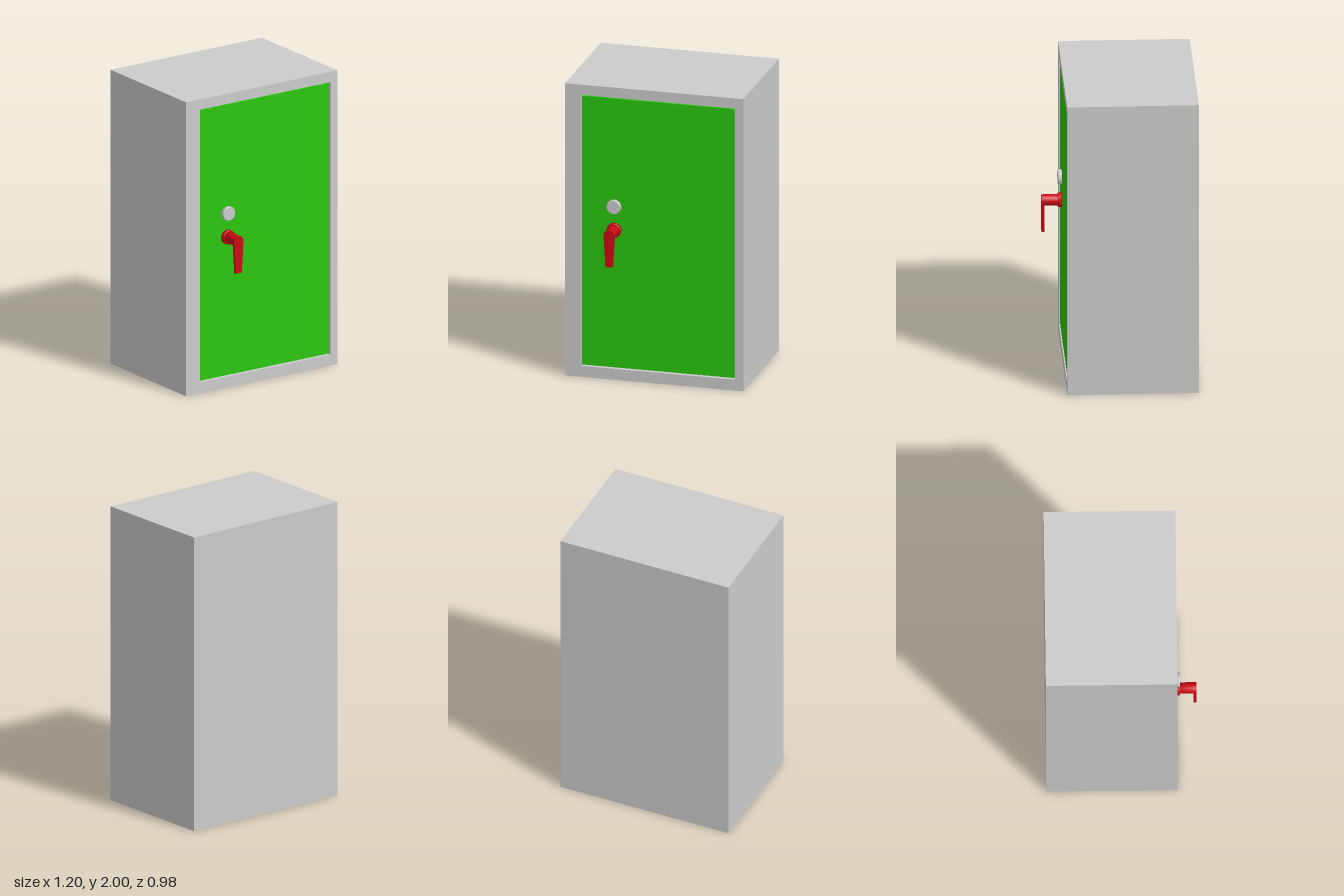
import * as THREE from 'three';

const FRONT = 0.365, BACK = -0.49;
const REBATE = 0.31; // depth plane where the door opening steps in to the compartment
const outer = { x0: -0.6, x1: 0.6, y0: 0, y1: 2 };
const opening = { x0: -0.49, x1: 0.545, y0: 0.075, y1: 1.93 };
const inner = { x0: -0.49, x1: 0.49, y0: 0.14, y1: 1.87 };

const grey = new THREE.MeshStandardMaterial({ color: 0xcccccc });
const sheet = new THREE.MeshStandardMaterial({ color: 0xcccccc, side: THREE.DoubleSide });
const green = new THREE.MeshStandardMaterial({ color: 0x2bc70f });
const red = new THREE.MeshStandardMaterial({ color: 0xcc0a14 });

// Thin-walled box between two depths; faces are numbered +x, -x, +y, -y, +z, -z
function openBox(r, zBack, zFront, omitted) {
  const g = new THREE.BoxGeometry(r.x1 - r.x0, r.y1 - r.y0, zFront - zBack);
  g.setIndex(Array.from(g.index.array).filter((_, i) => !omitted.includes(Math.floor(i / 6))));
  g.clearGroups();
  return g.translate((r.x0 + r.x1) / 2, (r.y0 + r.y1) / 2, (zFront + zBack) / 2);
}

function outline(path, r) {
  path.moveTo(r.x0, r.y0);
  path.lineTo(r.x1, r.y0);
  path.lineTo(r.x1, r.y1);
  path.lineTo(r.x0, r.y1);
  path.closePath();
  return path;
}

// Flat sheet with a rectangular hole
function frame(r, hole, z) {
  const shape = outline(new THREE.Shape(), r);
  shape.holes.push(outline(new THREE.Path(), hole));
  return new THREE.ShapeGeometry(shape).translate(0, 0, z);
}

// Round part turned about z
function disc(radius, z0, z1, x, y) {
  const b = 0.004;
  const pts = [[0, z0], [radius, z0], [radius, z1 - b], [radius, z1 - b], [radius - b, z1], [radius - b, z1], [0, z1]];
  const g = new THREE.LatheGeometry(pts.map(([a, h]) => new THREE.Vector2(a, h)), 32);
  return g.rotateX(Math.PI / 2).translate(x, y, 0);
}

export function createModel() {
  const model = new THREE.Group();
  model.name = 'lockableCabinet';
  const add = (name, geometry, material, parent = model) => {
    const mesh = new THREE.Mesh(geometry, material);
    mesh.name = name;
    parent.add(mesh);
  };

  // Cabinet body, open underneath
  add('cabinetShell', openBox(outer, BACK, FRONT, [3, 4]), sheet);
  add('frontFrame', frame(outer, opening, FRONT), sheet);
  add('doorRebate', openBox(opening, REBATE, FRONT, [4, 5]), sheet);
  add('rebateBack', frame(opening, { ...inner, x0: -0.485 }, REBATE), sheet);
  add('innerCompartment', openBox(inner, -0.44, REBATE, [4]), sheet);

  // Door panel, set slightly behind the frame
  add('door', openBox({ x0: -0.487, x1: 0.537, y0: 0.083, y1: 1.922 }, 0.315, 0.358, []), green);

  // Lock above the handle
  const hx = -0.27, hy = 1.025;
  add('lockKnob', disc(0.048, 0.355, 0.385, hx, 1.185), grey);

  // Lever handle
  const handle = new THREE.Group();
  handle.name = 'handle';
  model.add(handle);
  add('handleRose', disc(0.048, 0.355, 0.385, hx, hy), red, handle);
  add('handleShaft', disc(0.037, 0.38, 0.488, hx, hy), red, handle);
  const lever = new THREE.Shape();
  lever.moveTo(-0.024, -0.215);
  lever.lineTo(0.024, -0.215);
  lever.lineTo(0.037, 0);
  lever.absarc(0, 0, 0.037, 0, Math.PI, false);
  lever.closePath();
  const leverGeometry = new THREE.ExtrudeGeometry(lever, { depth: 0.018, bevelEnabled: false, curveSegments: 16 });
  add('handleLever', leverGeometry.translate(hx, hy, 0.472), red, handle);

  return model;
}
